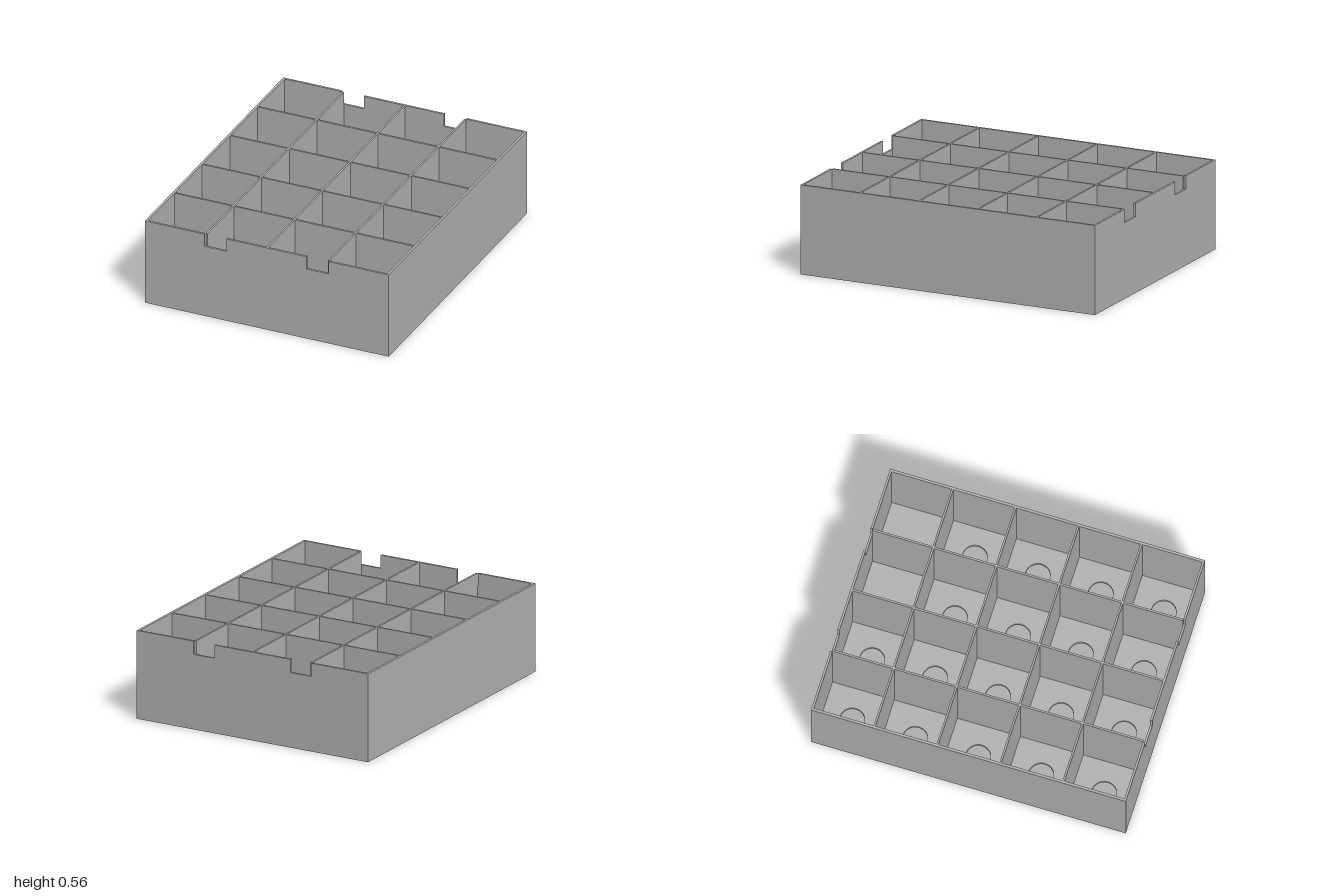
import * as THREE from 'three';

const W = 0.815, D = 1, H = 0.565;      // half width, half depth, height
const WALL = 0.016, END = 0.014, THIN = 0.012, FLOOR = 0.02;
const COLS = 4, ROWS = 5;
const PITCH_X = 0.408, PITCH_Z = 0.4;

export function createModel() {
  const group = new THREE.Group();
  const grey = new THREE.MeshStandardMaterial({ color: 0xb3b3b3 });
  grey.name = 'light grey';

  const add = (name, geometry, x, y, z) => {
    const mesh = new THREE.Mesh(geometry, grey);
    mesh.name = name;
    mesh.position.set(x, y, z);
    group.add(mesh);
    return mesh;
  };
  const colX = (c) => (c - (COLS - 1) / 2) * PITCH_X;
  const rowZ = (r) => (r - (ROWS - 1) / 2) * PITCH_Z;

  // Floor with a round hole under each compartment, except two at the back
  const plate = new THREE.Shape([[-W, -D], [W, -D], [W, D], [-W, D]].map(([x, y]) => new THREE.Vector2(x, y)));
  for (let r = 0; r < ROWS; r++) {
    for (let c = 0; c < COLS; c++) {
      if (r === 0 && c >= 2) continue;
      const hole = new THREE.Path();
      hole.absarc(colX(c), -rowZ(r), 0.076, 0, Math.PI * 2, true);
      plate.holes.push(hole);
    }
  }
  const floorGeometry = new THREE.ExtrudeGeometry(plate, { depth: FLOOR, bevelEnabled: false, curveSegments: 24 });
  add('floor', floorGeometry.rotateX(-Math.PI / 2), 0, 0, 0);

  // End walls with two notches in the rim
  const NOTCH = 0.48;
  const outline = [
    [-W, FLOOR], [W, FLOOR], [W, H],
    [0.414, H], [0.414, NOTCH], [0.266, NOTCH], [0.266, H],
    [-0.27, H], [-0.27, NOTCH], [-0.418, NOTCH], [-0.418, H],
    [-W, H],
  ];
  const endShape = new THREE.Shape(outline.map(([x, y]) => new THREE.Vector2(x, y)));
  const endGeometry = new THREE.ExtrudeGeometry(endShape, { depth: END, bevelEnabled: false });
  add('frontWall', endGeometry, 0, 0, D - END);
  add('backWall', endGeometry, 0, 0, -D);

  // Side walls
  const inner = H - FLOOR, midY = FLOOR + inner / 2;
  const sideGeometry = new THREE.BoxGeometry(WALL, inner, 2 * (D - END));
  add('leftWall', sideGeometry, W - WALL / 2, midY, 0);
  add('rightWall', sideGeometry, -W + WALL / 2, midY, 0);

  // Long dividers
  const longGeometry = new THREE.BoxGeometry(THIN, inner, 2 * (D - END));
  for (let c = 1; c < COLS; c++) add('longDivider', longGeometry, colX(c) - PITCH_X / 2, midY, 0);

  // Cross dividers, one piece per compartment
  for (let c = 0; c < COLS; c++) {
    const x0 = c === 0 ? -W + WALL : colX(c) - PITCH_X / 2 + THIN / 2;
    const x1 = c === COLS - 1 ? W - WALL : colX(c) + PITCH_X / 2 - THIN / 2;
    const crossGeometry = new THREE.BoxGeometry(x1 - x0, inner, THIN);
    for (let r = 1; r < ROWS; r++) add('crossDivider', crossGeometry, (x0 + x1) / 2, midY, rowZ(r) - PITCH_Z / 2);
  }

  return group;
}
